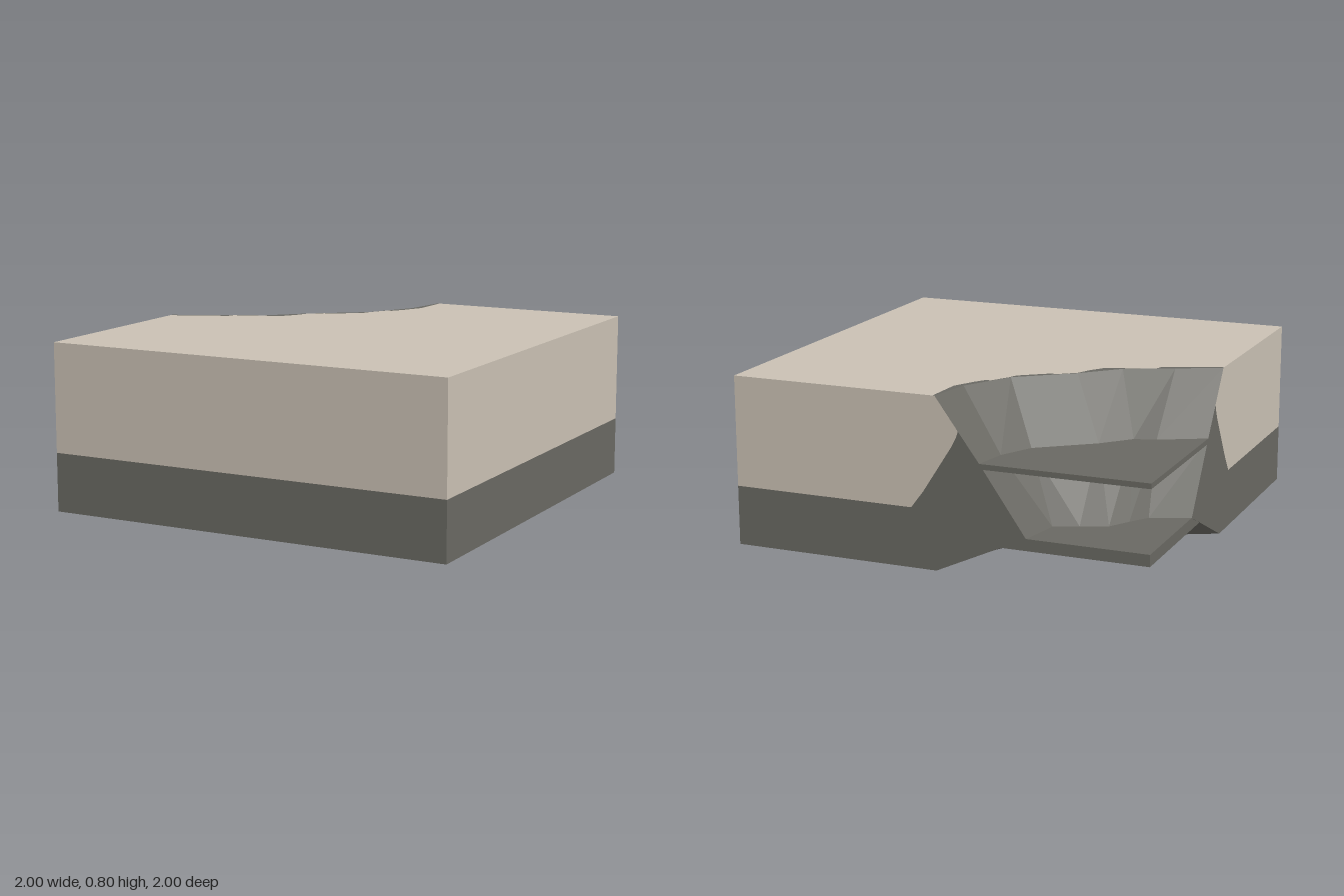
import * as THREE from 'three';

export function createModel() {
  const model = new THREE.Group();
  const sand = new THREE.MeshStandardMaterial({ color: 0xc9c0b3, side: THREE.DoubleSide });
  sand.name = 'sand';
  const rock = new THREE.MeshStandardMaterial({ color: 0x696862, side: THREE.DoubleSide });
  rock.name = 'rock';

  const TOP = 0.8, SEAM = 0.28;

  // Cliff contours as [x, z], from the back wall round to the side wall
  const rim = [[0, -1], [-0.04, -0.78], [-0.17, -0.55], [-0.42, -0.36], [-0.58, -0.2], [-0.8, -0.1], [-1, 0]];
  const ledge = [[-0.21, -1], [-0.24, -0.83], [-0.32, -0.67], [-0.57, -0.48], [-0.69, -0.35], [-0.79, -0.32], [-1, -0.21]];
  const toe = [[-0.43, -1], [-0.47, -0.79], [-0.58, -0.74], [-0.7, -0.69], [-0.76, -0.59], [-0.82, -0.5], [-1, -0.43]];
  // Ragged edge of the rock colour on the top
  const fringe = [[0.01, -1], [0, -0.8], [-0.05, -0.7], [-0.09, -0.64], [-0.11, -0.645], [-0.165, -0.55],
    [-0.18, -0.51], [-0.3, -0.42], [-0.35, -0.405], [-0.42, -0.35], [-0.45, -0.28], [-0.5, -0.21],
    [-0.57, -0.19], [-0.72, -0.13], [-0.73, -0.1], [-0.95, 0], [-1, 0.01]];

  const shape = (points) => new THREE.Shape(points.map(([x, y]) => new THREE.Vector2(x, y)));

  function add(name, geometry, material) {
    const mesh = new THREE.Mesh(geometry, material);
    mesh.name = name;
    model.add(mesh);
    return mesh;
  }

  // Flat panels: along x at a given z, along z at a given x, or level at a given y
  const alongX = (points, z) => new THREE.ShapeGeometry(shape(points)).translate(0, 0, z);
  const alongZ = (points, x) => new THREE.ShapeGeometry(shape(points)).rotateY(-Math.PI / 2).translate(x, 0, 0);
  const level = (points, y) => new THREE.ShapeGeometry(shape(points)).rotateX(Math.PI / 2).translate(0, y, 0);

  // Top surface with its rock fringe
  add('topSurface', level([...fringe, [-1, 1], [1, 1], [1, -1]], TOP), sand);
  add('rimFringe', level([...rim, ...[...fringe].reverse()], TOP), rock);

  // Full walls at the front and side
  const band = (y0, y1) => [[-1, y0], [1, y0], [1, y1], [-1, y1]];
  add('frontWallUpper', alongX(band(SEAM, TOP), 1), sand);
  add('frontWallLower', alongX(band(0, SEAM), 1), rock);
  add('sideWallUpper', alongZ(band(SEAM, TOP), 1), sand);
  add('sideWallLower', alongZ(band(0, SEAM), 1), rock);

  // Broken walls beside the cliff
  const seam = [[0.12, SEAM], [0.06, 0.36], [-0.08, 0.58], [-0.1, 0.62], [-0.11, 0.65]];
  const upper = [[1, TOP], [1, SEAM], ...seam, [0, TOP]];
  const lower = [[1, SEAM], [1, 0], [0, 0], [-0.43, 0.2], [-0.21, 0.515], ...[...seam].reverse()];
  add('backWallUpper', alongX(upper, -1), sand);
  add('backWallLower', alongX(lower, -1), rock);
  add('cliffSideWallUpper', alongZ(upper, -1), sand);
  add('cliffSideWallLower', alongZ(lower, -1), rock);

  // Faceted cliff lofted through the contours
  const rows = [[rim, TOP], [ledge, 0.515], [toe, 0.2], [rim, 0]];
  const positions = [];
  for (let r = 0; r < rows.length - 1; r++) {
    const at = (row, i) => [row[0][i][0], row[1], row[0][i][1]];
    for (let i = 0; i < rim.length - 1; i++) {
      const a = at(rows[r], i), b = at(rows[r], i + 1);
      const c = at(rows[r + 1], i), d = at(rows[r + 1], i + 1);
      positions.push(...a, ...b, ...c, ...b, ...d, ...c);
    }
  }
  const cliff = new THREE.BufferGeometry();
  cliff.setAttribute('position', new THREE.Float32BufferAttribute(positions, 3));
  cliff.computeVertexNormals();
  add('cliffFace', cliff, rock);

  // Thin upper slab filling the notch
  const slab = new THREE.ExtrudeGeometry(shape([[-1, -1], ...ledge]), { depth: 0.025, bevelEnabled: false });
  add('upperSlab', slab.rotateX(Math.PI / 2).translate(0, 0.515, 0), rock);

  // Floor slab under the whole tile
  add('floorSlab', new THREE.BoxGeometry(1.998, 0.055, 1.998), rock).position.y = 0.1725;

  return model;
}
